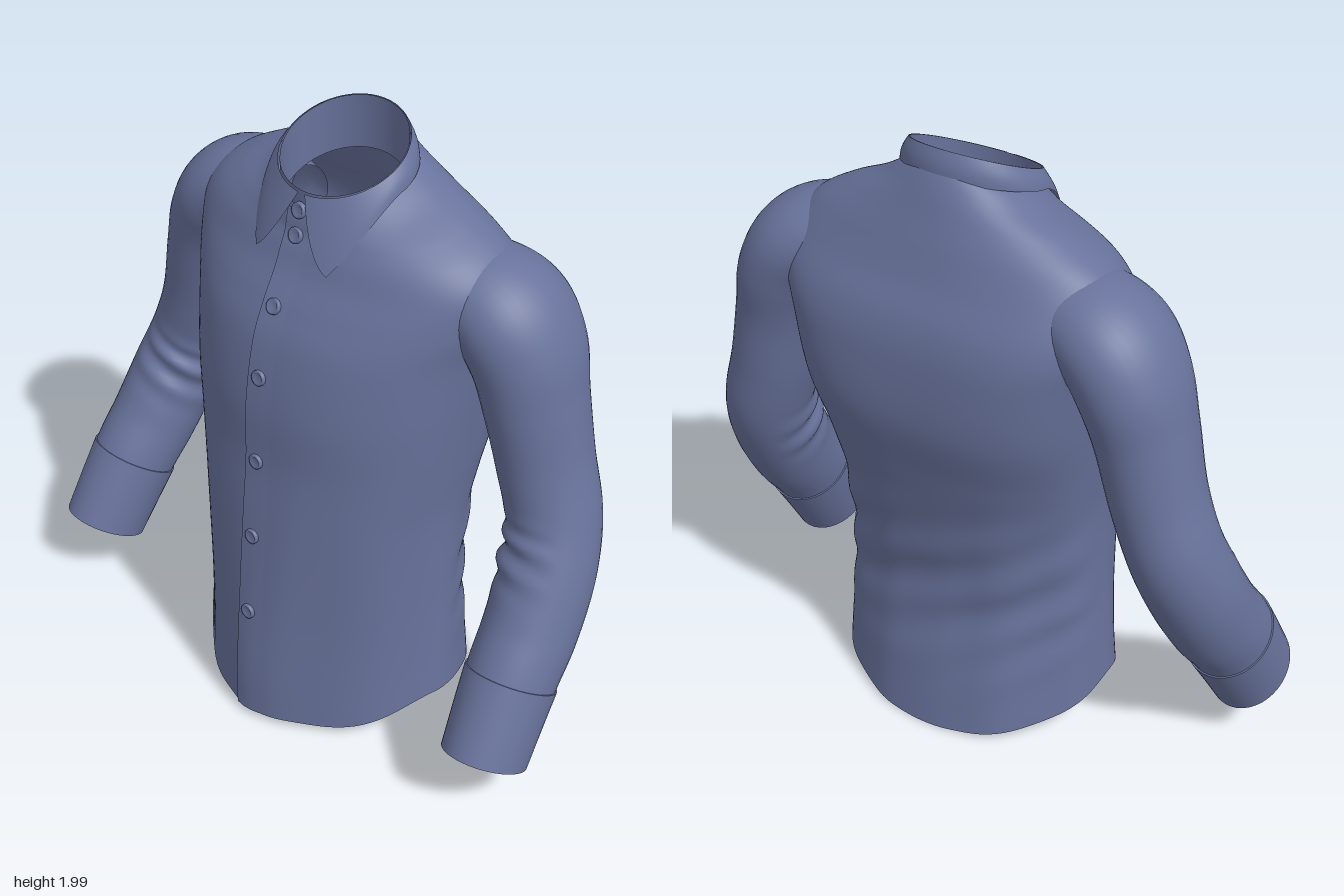
import * as THREE from 'three';
import { toCreasedNormals } from 'three/addons/utils/BufferGeometryUtils.js';

const TAU = Math.PI * 2;
const { lerp, smoothstep } = THREE.MathUtils;

const fabric = new THREE.MeshStandardMaterial({ color: 0x68729b, side: THREE.DoubleSide });
fabric.name = 'blue fabric';

// Grid of points fn(u, v); u runs around, v along. Closed grids share their seam.
function loft(cols, rows, fn, closed = true) {
  const pos = [], idx = [], n = closed ? cols : cols + 1;
  for (let r = 0; r <= rows; r++)
    for (let c = 0; c < n; c++) pos.push(...fn(c / cols, r / rows).toArray());
  for (let r = 0; r < rows; r++)
    for (let c = 0; c < cols; c++) {
      const a = r * n + c, b = r * n + (c + 1) % n;
      idx.push(a, b, b + n, a, b + n, a + n);
    }
  const g = new THREE.BufferGeometry();
  g.setAttribute('position', new THREE.Float32BufferAttribute(pos, 3));
  g.setIndex(idx);
  g.computeVertexNormals();
  return g;
}

function part(name, geometry) {
  const m = new THREE.Mesh(geometry, fabric);
  m.name = name;
  return m;
}

const spline = pts => new THREE.CatmullRomCurve3(pts.map(p => new THREE.Vector3(...p)), false, 'catmullrom', 0.5);

// Torso stations: height, half width, front z, back z, middle z, squareness of the back
const STATIONS = [
  [0.00, 0.475, 0.430, -0.385, 0.03, 2.1],
  [0.20, 0.465, 0.425, -0.360, 0.02, 2.1],
  [0.50, 0.452, 0.400, -0.318, 0.01, 2.2],
  [0.80, 0.450, 0.372, -0.345, 0.00, 2.4],
  [1.00, 0.468, 0.352, -0.385, -0.02, 2.7],
  [1.20, 0.490, 0.345, -0.428, -0.05, 3.2],
  [1.40, 0.515, 0.310, -0.424, -0.08, 3.5],
  [1.52, 0.550, 0.260, -0.402, -0.11, 3.2],
  [1.62, 0.560, 0.205, -0.358, -0.12, 2.7],
  [1.70, 0.500, 0.180, -0.315, -0.11, 2.3],
  [1.76, 0.395, 0.165, -0.280, -0.08, 2.1],
  [1.81, 0.280, 0.160, -0.255, -0.06, 2.0],
  [1.86, 0.198, 0.150, -0.230, -0.04, 2.0],
];
const sizeCurve = spline(STATIONS.map(s => [s[1], s[2], s[3]]));
const placeCurve = spline(STATIONS.map(s => [s[0], s[4], s[5]]));
const CX = 0.03;

const spow = (v, p) => Math.sign(v) * Math.abs(v) ** p;
// the front runs to a soft ridge at the hem and rounds out at the chest
const frontPower = y => lerp(1.55, 2.12, smoothstep(y, 0.1, 1.1));

// Point on the torso: angle 0 is the front, t runs from hem to neck
function torsoPoint(a, t, out = 0) {
  const size = sizeCurve.getPoint(t), place = placeCurve.getPoint(t);
  const s = Math.sin(a), c = Math.cos(a), y0 = place.x;
  const n = lerp(place.z, frontPower(y0), smoothstep(c, -0.15, 0.15));
  // soft folds: upright in the lower front, slanted across the lower back
  const low = 1 - smoothstep(y0, 0.5, 1.2);
  const back = smoothstep(-c, 0, 0.6) * Math.exp(-(((y0 - 0.55) / 0.25) ** 2));
  const fold = 0.004 * low * Math.sin(a * 9) * smoothstep(Math.abs(s), 0.1, 0.4)
    + 0.007 * back * Math.sin(y0 * 30 + s * 7);
  const depth = c > 0 ? size.y - place.y : place.y - size.z;
  const x = CX + spow(s, 2 / n) * (size.x + fold) + s * out;
  const z = place.y + spow(c, 2 / n) * (depth + fold) + c * out;
  // curved shirt tails below, a neckline dropping towards the front above
  const hem = c > 0 ? 0.14 - 0.11 * smoothstep(c, 0.08, 0.85) : 0.14 - 0.135 * (-c) ** 1.2;
  const y = y0 + hem * Math.max(0, 1 - y0 / 0.5)
    - 0.36 * (z + 0.03) * smoothstep(y0, 1.62, 1.86);
  return new THREE.Vector3(x, y, z);
}

// Angle at which the front of the torso crosses x
function angleAt(x, t) {
  const power = frontPower(placeCurve.getPoint(t).x);
  return Math.asin(spow((x - CX) / sizeCurve.getPoint(t).x, power / 2));
}

// Walks up the front until the wanted height is reached
function frontAt(x, y, out) {
  let lo = 0, hi = 1, p;
  for (let i = 0; i < 30; i++) {
    const t = (lo + hi) / 2;
    p = torsoPoint(angleAt(x, t), t, out);
    if (p.y < y) lo = t; else hi = t;
  }
  return p;
}

// Sleeve stations: x, y, z of the centre, then the two radii
const SLEEVE = [
  [0.270, 1.595, -0.12, 0.110, 0.13],
  [0.420, 1.585, -0.13, 0.140, 0.175],
  [0.535, 1.535, -0.145, 0.157, 0.20],
  [0.605, 1.43, -0.155, 0.157, 0.195],
  [0.650, 1.28, -0.155, 0.147, 0.175],
  [0.700, 1.08, -0.16, 0.140, 0.16],
  [0.757, 0.90, -0.15, 0.140, 0.155],
  [0.793, 0.74, -0.09, 0.146, 0.155],
  [0.815, 0.58, 0.00, 0.143, 0.155],
  [0.828, 0.45, 0.095, 0.137, 0.153],
  [0.848, 0.225, 0.23, 0.123, 0.150],
];
const LAST = SLEEVE.length - 1;

function sleeve(side) {
  const path = spline(SLEEVE.map((p, i) => [side * p[0] + 0.03 * (1 - i / 9), p[1], p[2]]));
  const radii = spline(SLEEVE.map(p => [p[3], p[4], 0]));
  const ring = (u, t, out) => {
    const a = u * TAU, i = t * LAST;
    const tan = path.getTangent(t), r = radii.getPoint(t);
    const across = new THREE.Vector3().crossVectors(tan, new THREE.Vector3(0, 0, 1)).normalize();
    const fore = new THREE.Vector3().crossVectors(across, tan);
    // creases gathered in the crook of the elbow, on the inner front
    const inner = Math.max(0, Math.cos(a - Math.atan2(fore.z, -side * across.x)));
    const crease = 0.012 * Math.exp(-(((i - 6.7) / 0.6) ** 2)) * Math.sin(i * 10 + Math.cos(a) * 2) * inner;
    return path.getPoint(t)
      .addScaledVector(across, Math.cos(a) * (r.x + out + crease))
      .addScaledVector(fore, Math.sin(a) * (r.y + out + crease));
  };
  const g = new THREE.Group();
  g.name = side > 0 ? 'leftSleeve' : 'rightSleeve';
  g.add(part('sleeve', loft(40, 90, (u, v) => ring(u, v * 9.2 / LAST, 0))));
  // folded cuff: outer face, rim and lining
  const cuff = [[9, -0.006], [9, 0.005], [9.5, 0.005], [10, 0.005], [10, 0.001], [9.2, -0.006]];
  const geo = loft(40, cuff.length - 1, (u, v) => {
    const [i, out] = cuff[Math.round(v * (cuff.length - 1))];
    return ring(u, i / LAST, out);
  });
  g.add(part('cuff', toCreasedNormals(geo, 0.8)));
  return g;
}

// Oval around the neck
function neckPoint(a, hw, zf, zb, yAt) {
  const c = Math.cos(a), zc = -0.03;
  const z = zc + c * (c > 0 ? zf - zc : zc - zb);
  return new THREE.Vector3(0.03 + Math.sin(a) * hw, yAt(z, c), z);
}
const collarTop = z => 1.92 - 0.45 * (z + 0.03);

function collar() {
  const g = new THREE.Group();
  g.name = 'collar';
  g.add(part('collarStand', loft(64, 4, (u, v) =>
    neckPoint(u * TAU, 0.194, 0.142, -0.204, z => collarTop(z) - 0.17 * (1 - v)))));
  // turned-down leaf whose front corners draw out into points
  g.add(part('collarLeaf', loft(96, 10, (u, v) => {
    const open = lerp(0.06, 0.64, v), a = lerp(open, TAU - open, u);
    const top = neckPoint(a, 0.198, 0.150, -0.207, collarTop);
    const low = neckPoint(a, 0.228, 0.255, -0.228, (z, c) =>
      c < 0 ? 1.86 - 0.06 * c : 1.86 - 0.22 * (c / 0.8) ** 1.6);
    const p = top.lerp(low, v);
    const puff = 0.006 * Math.sin(v * Math.PI);
    return p.add(new THREE.Vector3(Math.sin(a) * puff, 0, Math.cos(a) * puff));
  }, false)));
  return g;
}

export function createModel() {
  const shirt = new THREE.Group();
  shirt.name = 'shirt';

  shirt.add(part('torso', loft(120, 110, (u, v) => torsoPoint(u * TAU, v))));

  // overlapping front edge, thickest along the opening
  const placket = loft(4, 80, (u, v) => {
    const t = v * 0.985, x = lerp(-0.015, 0.075, Math.max(0, (u - 0.25) / 0.75));
    return torsoPoint(angleAt(x, t), t, u === 0 ? 0.001 : 0.008 * (1 - u) + 0.001);
  }, false);
  shirt.add(part('placket', toCreasedNormals(placket, 0.6)));

  const buttonShape = new THREE.LatheGeometry(
    [[0.025, -0.004], [0.024, 0.008], [0.018, 0.01], [0.014, 0.006], [0, 0.006]]
      .map(p => new THREE.Vector2(...p)), 24);
  buttonShape.rotateX(Math.PI / 2);
  [1.785, 1.71, 1.515, 1.3, 1.005, 0.73, 0.44].forEach(y => {
    const b = part('button', buttonShape);
    b.position.copy(frontAt(0.027, y, 0.004));
    const up = frontAt(0.027, y + 0.02, 0).sub(frontAt(0.027, y - 0.02, 0));
    b.rotation.x = Math.atan2(up.z, up.y);
    shirt.add(b);
  });

  shirt.add(sleeve(1), sleeve(-1), collar());
  return shirt;
}
